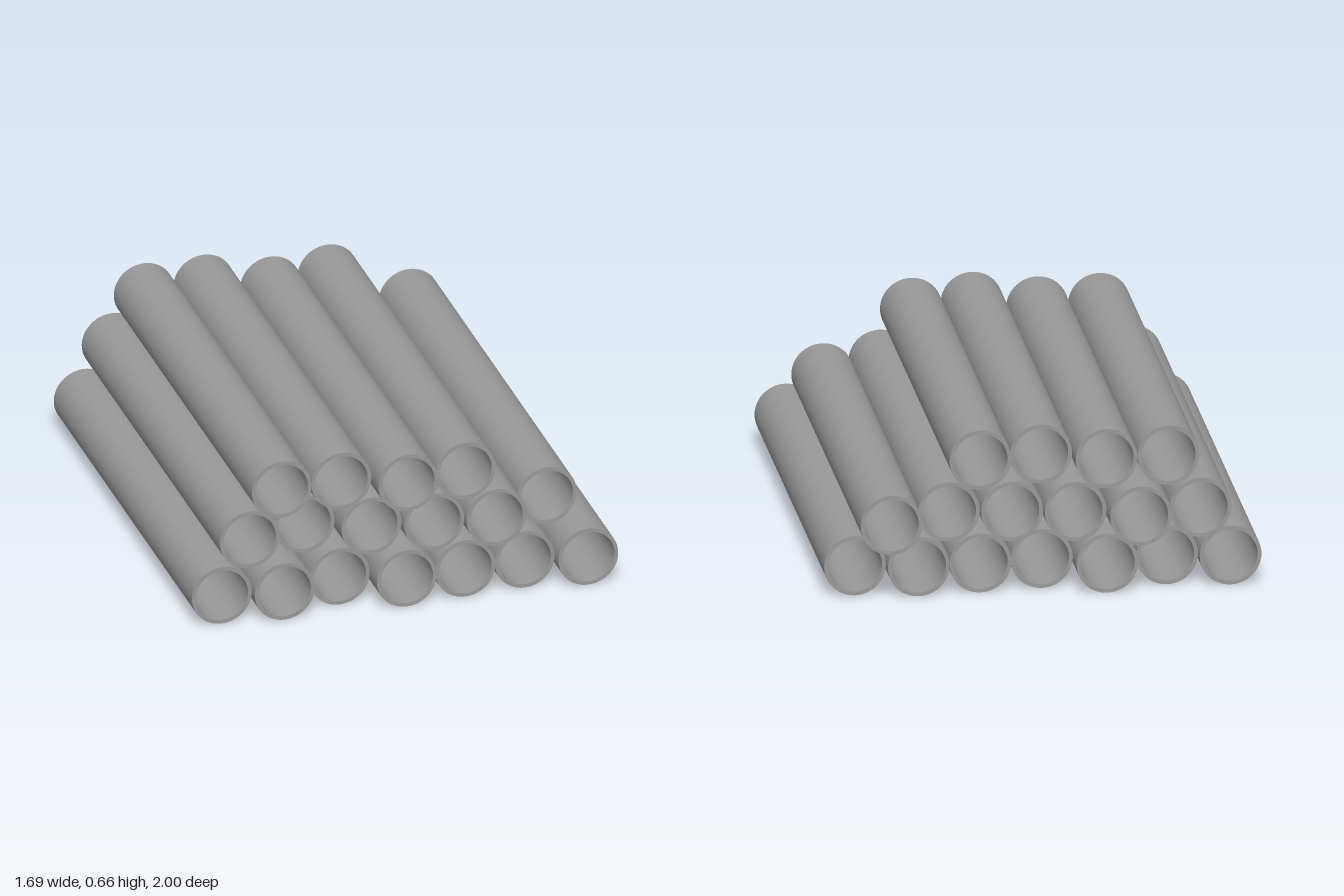
import * as THREE from 'three';
import { mergeGeometries } from 'three/addons/utils/BufferGeometryUtils.js';

const OUTER = 0.12, INNER = 0.105, LENGTH = 1.82;
const PITCH = 0.241, ROW_HEIGHT = PITCH * Math.sqrt(3) / 2;

// Each row: x of its first pipe, and how far each pipe is slid along z
const ROWS = [
  { name: 'bottomPipe', x: -3 * PITCH, slides: [0.005, 0.043, -0.022, 0.07, 0.052, 0.043, 0.09] },
  { name: 'middlePipe', x: -2.5 * PITCH, slides: [-0.022, -0.09, 0, 0.037, 0.067, -0.06] },
  { name: 'topPipe', x: -2 * PITCH, slides: [0.005, 0, 0.09, 0.054] },
];

// Hollow pipe along z: outer wall, front rim, bore and back rim, with sharp edges between them
function pipeGeometry() {
  const h = LENGTH / 2;
  const corners = [[OUTER, -h], [OUTER, h], [INNER, h], [INNER, -h]]
    .map(([r, y]) => new THREE.Vector2(r, y));
  const bands = corners.map((p, i) => new THREE.LatheGeometry([p, corners[(i + 1) % 4]], 48));
  return mergeGeometries(bands).rotateX(Math.PI / 2);
}

export function createModel() {
  const group = new THREE.Group();
  group.name = 'pipeStack';
  const geometry = pipeGeometry();
  const material = new THREE.MeshStandardMaterial({ color: 0x999999 });

  // Pipes nest in the hollows of the row below
  ROWS.forEach((row, r) => {
    row.slides.forEach((z, i) => {
      const pipe = new THREE.Mesh(geometry, material);
      pipe.name = `${row.name}${i + 1}`;
      pipe.position.set(row.x + i * PITCH, OUTER + r * ROW_HEIGHT, z);
      group.add(pipe);
    });
  });
  return group;
}
